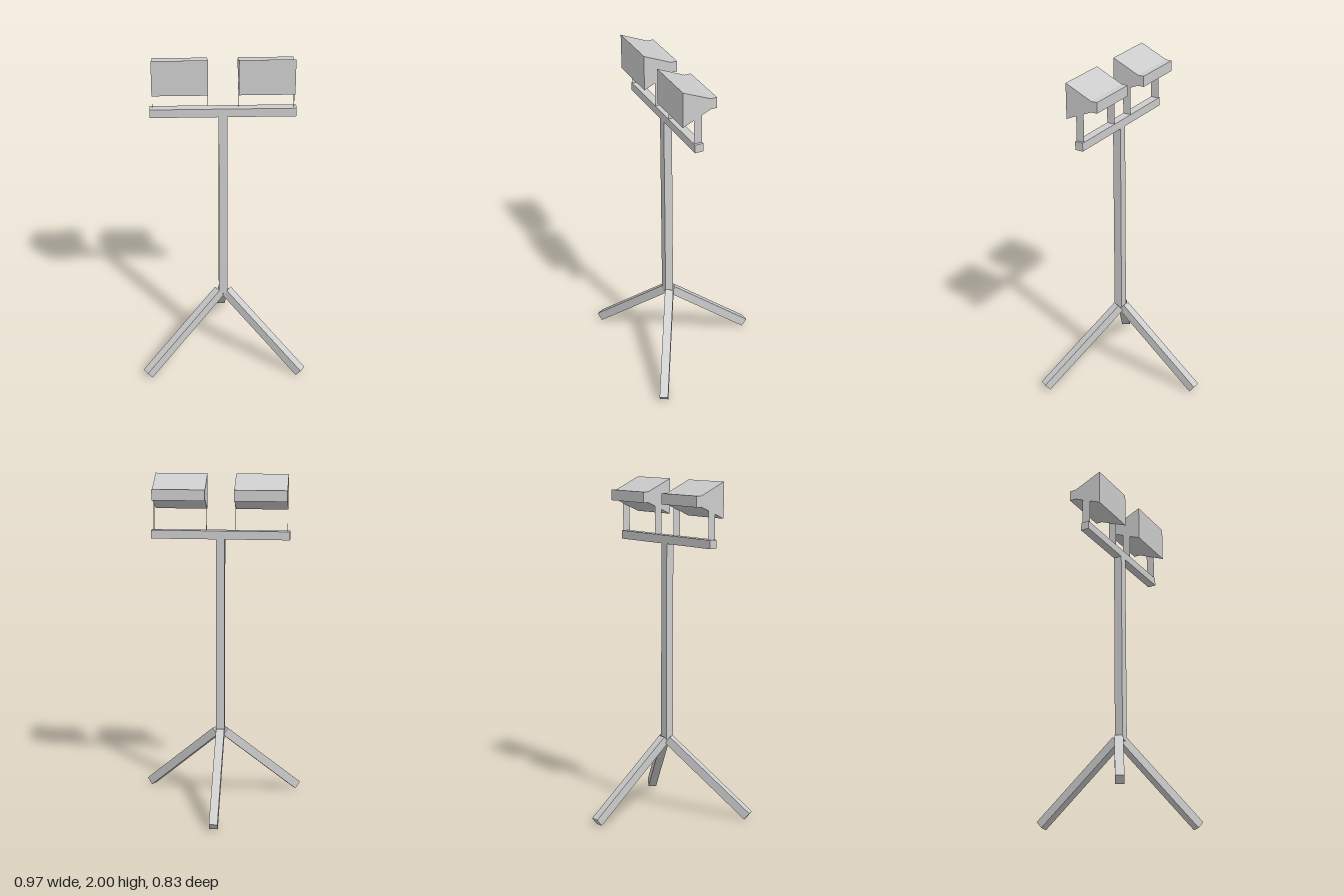
import * as THREE from 'three';

const material = new THREE.MeshStandardMaterial({ color: 0xcccccc, flatShading: true });
const thinMaterial = new THREE.MeshStandardMaterial({ color: 0xcccccc, flatShading: true, side: THREE.DoubleSide });

const MAST_Z = 0.13;
const BEAM = 0.05; // square section shared by mast, crossbar and legs

const outline = (points) => new THREE.Shape(points.map(([x, y]) => new THREE.Vector2(x, y)));

// Extrude a side outline, centred on its own thickness
function slab(points, depth) {
  const geometry = new THREE.ExtrudeGeometry(outline(points), { depth, bevelEnabled: false });
  return geometry.translate(0, 0, -depth / 2);
}

function add(parent, name, geometry, x = 0, y = 0, z = 0, mat = material) {
  const mesh = new THREE.Mesh(geometry, mat);
  mesh.name = name;
  mesh.position.set(x, y, z);
  parent.add(mesh);
  return mesh;
}

export function createModel() {
  const model = new THREE.Group();
  model.name = 'floodlightTripod';

  // Mast and crossbar
  add(model, 'mast', new THREE.BoxGeometry(BEAM, 1.185, BEAM), 0, 1.0325, MAST_Z);
  add(model, 'crossbar', new THREE.BoxGeometry(0.82, BEAM, BEAM), 0, 1.65, MAST_Z);

  // Three splayed legs: angle around the mast, and distance of the upper end from it
  const legs = [
    ['rearLeg', Math.PI / 2, 0.026],
    ['frontLeftLeg', -Math.PI / 6, 0.04],
    ['frontRightLeg', -Math.PI * 5 / 6, 0.04],
  ];
  for (const [name, angle, start] of legs) {
    const profile = [
      [start, 0.462], [start + 0.505, 0.04], [start + 0.473, 0], [start - 0.032, 0.423],
    ];
    add(model, name, slab(profile, BEAM), 0, 0, 0.116).rotation.y = angle;
  }

  // Lamp housing outline (z, y): tall face in front, short block behind
  const housing = [
    [0.22, 1.79], [0.22, 2.0], [0.055, 1.927], [0.017, 1.927], [0.017, 1.863], [0.055, 1.863],
  ];
  // Thin bracket plate, cut to the sloping underside of the housing
  const plate = [[0.105, 1.675], [0.155, 1.675], [0.155, 1.819], [0.105, 1.841]];

  for (const side of [1, -1]) {
    const lamp = new THREE.Group();
    lamp.name = side > 0 ? 'leftLamp' : 'rightLamp';
    lamp.position.x = side * 0.24;
    add(lamp, 'housing', slab(housing, 0.31)).rotation.y = -Math.PI / 2;
    for (const end of [1, -1]) {
      const bracket = add(lamp, 'bracket', new THREE.ShapeGeometry(outline(plate)), end * 0.155, 0, 0, thinMaterial);
      bracket.rotation.y = -Math.PI / 2;
    }
    model.add(lamp);
  }

  return model;
}
